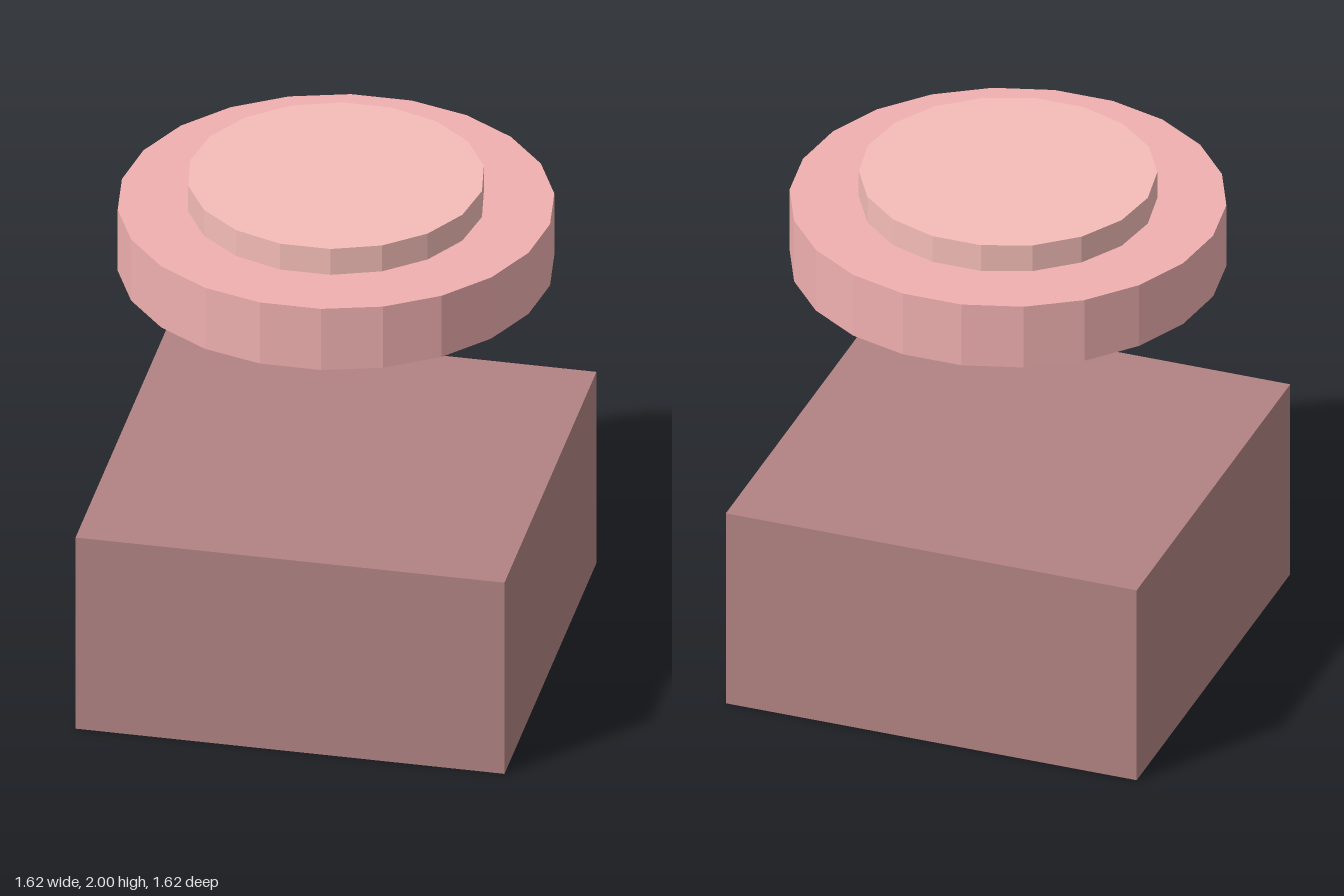
import * as THREE from 'three';

export function createModel() {
  const model = new THREE.Group();

  const add = (name, geometry, color, bottom, height) => {
    const material = new THREE.MeshStandardMaterial({ color, flatShading: true });
    const mesh = new THREE.Mesh(geometry, material);
    mesh.name = name;
    mesh.position.y = bottom + height / 2;
    model.add(mesh);
  };

  // Faceted disc with a corner on the x axis
  const disc = (radius, height, sides) =>
    new THREE.CylinderGeometry(radius, radius, height, sides, 1, false, Math.PI / 2);

  // Square block at the bottom
  add('baseBlock', new THREE.BoxGeometry(1.625, 0.813, 1.625), 0xb28383, 0, 0.813);

  // Stepped button floating above the block
  add('buttonDisc', disc(0.811, 0.26, 22), 0xf0b0b0, 1.63, 0.26);
  add('buttonCap', disc(0.553, 0.11, 18), 0xf5bdb7, 1.89, 0.11);

  return model;
}
